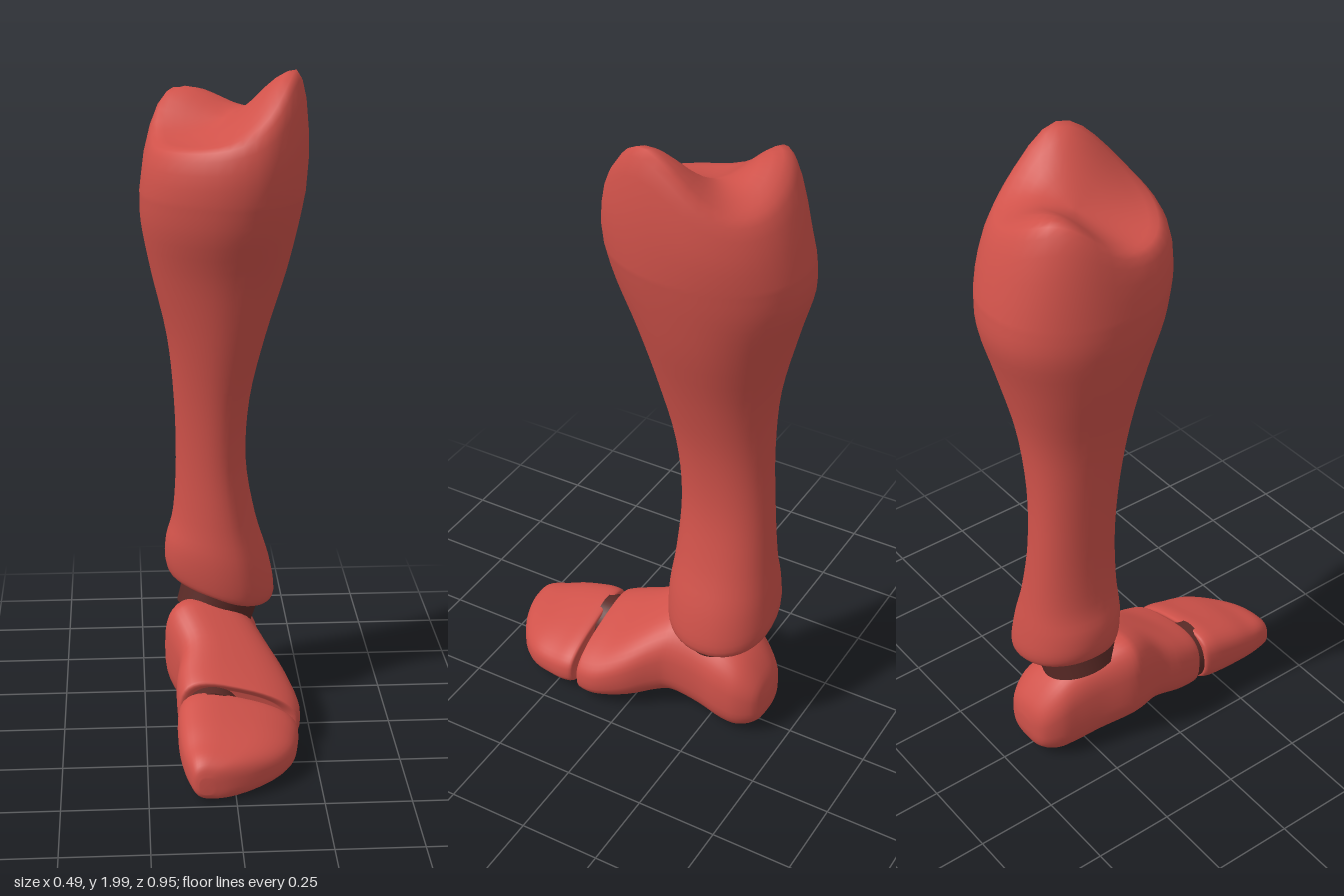
import * as THREE from 'three';

const SEG = 40;

// Catmull-Rom interpolation of section rows, so a few rows give a smooth loft
function refine(rows, steps) {
  const out = [];
  const at = (i) => rows[Math.min(rows.length - 1, Math.max(0, i))];
  for (let i = 0; i < rows.length - 1; i++) {
    for (let s = 0; s < steps; s++) {
      const t = s / steps;
      out.push(rows[i].map((_, k) => {
        const [a, b, c, d] = [at(i - 1)[k], at(i)[k], at(i + 1)[k], at(i + 2)[k]];
        return b + 0.5 * t * (c - a + t * (2 * a - 5 * b + 4 * c - d + t * (3 * (b - c) + d - a)));
      }));
    }
  }
  out.push(rows[rows.length - 1]);
  return out;
}

// Skin a list of closed rings and close both ends
function loft(rings) {
  const pos = [], idx = [];
  rings.forEach((r) => r.forEach((p) => pos.push(...p)));
  for (let i = 0; i < rings.length - 1; i++) {
    for (let j = 0; j < SEG; j++) {
      const k = (j + 1) % SEG;
      const a = i * SEG + j, b = i * SEG + k, c = a + SEG, d = b + SEG;
      idx.push(a, c, b, b, c, d);
    }
  }
  [0, rings.length - 1].forEach((i) => {
    const mid = [0, 1, 2].map((k) => rings[i].reduce((s, p) => s + p[k], 0) / SEG);
    const m = pos.length / 3;
    pos.push(...mid);
    for (let j = 0; j < SEG; j++) {
      const a = i * SEG + j, b = i * SEG + (j + 1) % SEG;
      if (i === 0) idx.push(m, a, b); else idx.push(m, b, a);
    }
  });
  const g = new THREE.BufferGeometry();
  g.setAttribute('position', new THREE.Float32BufferAttribute(pos, 3));
  g.setIndex(idx);
  g.computeVertexNormals();
  return g;
}

// Points of a superellipse on the unit square; smaller power is boxier
function section(power, fn) {
  return Array.from({ length: SEG }, (_, j) => {
    const a = (j / SEG) * Math.PI * 2, c = Math.cos(a), s = Math.sin(a);
    return fn(Math.sign(c) * Math.abs(c) ** power, Math.sign(s) * Math.abs(s) ** power);
  });
}

// Horizontal ring: [y, x0, x1, z0, z1, tilt], with a ridge along the front
function shinRing([y, x0, x1, z0, z1, tilt]) {
  const cx = (x0 + x1) / 2, rx = (x1 - x0) / 2;
  return section(0.92, (c, s) => {
    const f = Math.max(0, s) ** 3;
    const x = cx + rx * (c * (1 - 0.16 * f) + 0.18 * f);
    return [x, y - tilt * x, (z0 + z1) / 2 + (s * (z1 - z0)) / 2];
  });
}

// Upright ring: [z, x0, x1, y0, y1, slope]; slope lowers the top toward +x
function footRing([z, x0, x1, y0, y1, slope]) {
  return section(0.72, (c, s) => {
    const x = (x0 + x1) / 2 + (c * (x1 - x0)) / 2;
    const t = (s + 1) / 2;
    return [x, y0 + t * (y1 - y0) - slope * t * (x - (x0 + x1) / 2), z];
  });
}

const bump = (x, z, px, pz, wx, wz) => Math.exp(-(((x - px) / wx) ** 2) - ((z - pz) / wz) ** 2);

// Height of the uneven knee end
const kneeHeight = (x, z) => 1.79
  + 0.212 * bump(x, z, 0.2, -0.09, 0.17, 0.18)
  + 0.135 * bump(x, z, -0.11, -0.33, 0.19, 0.12);

function shinGeometry() {
  const rings = refine([
    [0.39, -0.12, 0.10, -0.35, -0.15, 0.3],
    [0.372, -0.16, 0.135, -0.40, -0.11, 0.3],
    [0.41, -0.18, 0.16, -0.42, -0.095, 0.3],
    [0.50, -0.178, 0.143, -0.415, -0.09, 0.2],
    [0.62, -0.155, 0.10, -0.40, -0.10, 0.05],
    [0.80, -0.145, 0.07, -0.385, -0.105, 0],
    [1.00, -0.15, 0.08, -0.377, -0.085, 0],
    [1.20, -0.17, 0.125, -0.39, -0.04, 0],
    [1.40, -0.215, 0.185, -0.435, 0.015, 0],
    [1.55, -0.243, 0.22, -0.475, 0.075, 0],
    [1.65, -0.246, 0.238, -0.472, 0.10, 0],
  ], 4).map(shinRing);
  // knee end: shrink the last ring inward, more at the back and right side,
  // while rising to the height field
  const rim = shinRing([1.65, -0.246, 0.245, -0.472, 0.105, 0]);
  const cap = [[1, 0.28], [0.995, 0.55], [0.965, 0.8], [0.92, 0.94], [0.86, 1],
    [0.76, 1], [0.64, 1], [0.5, 1], [0.35, 1], [0.18, 1], [0.05, 1]];
  cap.forEach(([s, rise]) => rings.push(rim.map(([px, , pz]) => {
    const x = px * s * (px < 0 ? 1 - 0.08 * rise : 1);
    const z = -0.19 + (pz + 0.19) * s * (pz < -0.19 ? 1 - 0.17 * rise : 1);
    return [x, 1.65 + rise * (kneeHeight(x, z) - 1.65), z];
  })));
  return loft(rings);
}

function footGeometry() {
  return loft(refine([
    [0.145, -0.11, 0.16, 0.05, 0.19, 0.25],
    [0.158, -0.145, 0.195, 0.022, 0.21, 0.25],
    [0.14, -0.155, 0.21, 0.012, 0.22, 0.28],
    [0.08, -0.158, 0.212, 0.015, 0.245, 0.32],
    [0.00, -0.15, 0.185, 0.025, 0.292, 0.34],
    [-0.08, -0.18, 0.14, 0.045, 0.345, 0.32],
    [-0.13, -0.185, 0.12, 0.05, 0.36, 0.3],
    [-0.22, -0.155, 0.11, 0.03, 0.335, 0.3],
    [-0.30, -0.135, 0.115, 0.012, 0.308, 0.25],
    [-0.36, -0.12, 0.108, 0.014, 0.265, 0.15],
    [-0.41, -0.085, 0.075, 0.045, 0.2, 0.05],
    [-0.425, -0.03, 0.025, 0.095, 0.145, 0],
  ], 4).map(footRing));
}

function toeGeometry() {
  return loft(refine([
    [0.477, -0.105, -0.065, 0.035, 0.085, 0],
    [0.468, -0.122, -0.01, 0.018, 0.115, 0.1],
    [0.44, -0.135, 0.06, 0.012, 0.135, 0.15],
    [0.39, -0.148, 0.13, 0.01, 0.148, 0.16],
    [0.33, -0.157, 0.175, 0.01, 0.167, 0.2],
    [0.26, -0.16, 0.193, 0.01, 0.184, 0.24],
    [0.21, -0.158, 0.199, 0.012, 0.196, 0.25],
    [0.182, -0.148, 0.19, 0.022, 0.192, 0.25],
    [0.192, -0.11, 0.15, 0.05, 0.165, 0.25],
  ], 4).map(footRing));
}

export function createModel() {
  const group = new THREE.Group();
  const red = new THREE.MeshStandardMaterial({ color: 0xd0524a });
  const dark = new THREE.MeshStandardMaterial({ color: 0x5a2a26 });
  const add = (name, geometry, material) => {
    const mesh = new THREE.Mesh(geometry, material);
    mesh.name = name;
    group.add(mesh);
    return mesh;
  };

  add('lowerLeg', shinGeometry(), red);
  add('foot', footGeometry(), red);
  add('toeCap', toeGeometry(), red);

  // dark joint between leg and foot, tilted with the ankle
  const ankle = add('ankleJoint', new THREE.CylinderGeometry(0.125, 0.12, 0.1, SEG), dark);
  ankle.position.set(-0.015, 0.35, -0.23);
  ankle.rotation.set(-0.12, 0, -0.3);

  // dark joint between foot and toe cap
  const toeJoint = add('toeJoint', new THREE.CylinderGeometry(1, 1, 0.06, SEG), dark);
  toeJoint.scale.set(0.09, 1, 0.095);
  toeJoint.rotation.x = Math.PI / 2;
  toeJoint.position.set(-0.055, 0.12, 0.168);
  return group;
}
